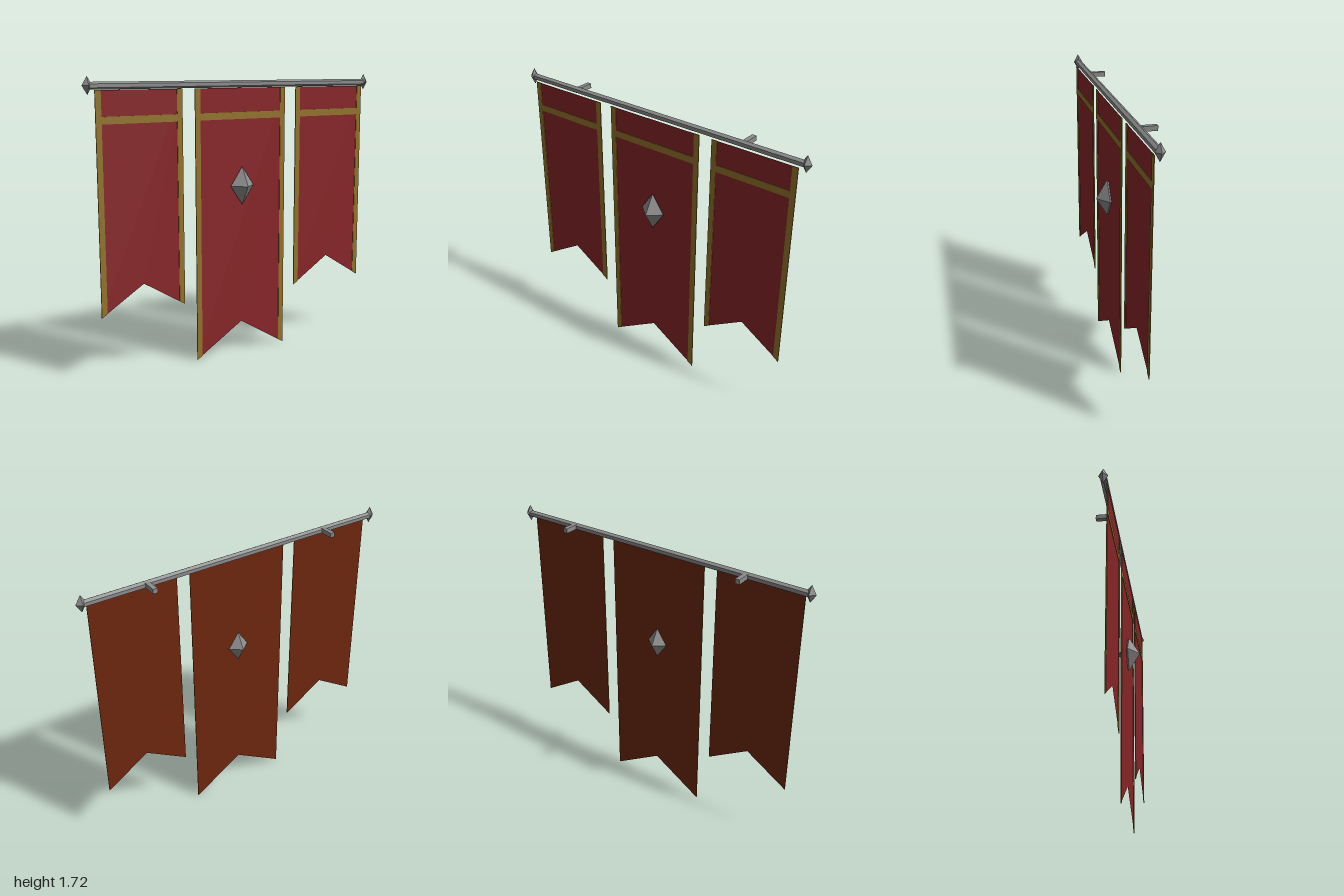
import * as THREE from 'three';

const mat = (name, color) => {
  const m = new THREE.MeshStandardMaterial({ color });
  m.name = name;
  return m;
};

export function createModel() {
  const root = new THREE.Group();
  root.name = 'wallBanners';
  const steel = mat('steel', 0x8c8c8c);
  const red = mat('redCloth', 0x8a2528);
  const backing = mat('brownBacking', 0x6e270f);
  const gold = mat('goldTrim', 0x94742a);

  const add = (parent, name, geometry, material, x = 0, y = 0, z = 0) => {
    const mesh = new THREE.Mesh(geometry, material);
    mesh.name = name;
    mesh.position.set(x, y, z);
    parent.add(mesh);
    return mesh;
  };
  const outline = (points) => new THREE.Shape(points.map(([x, y]) => new THREE.Vector2(x, y)));
  // faceted diamond with separate half sizes
  const diamond = (rx, ry, rz) => {
    const g = new THREE.OctahedronGeometry(1).scale(rx, ry, rz);
    g.computeVertexNormals();
    return g;
  };

  // Six-sided rod with an edge along the top
  const rodGeometry = new THREE.CylinderGeometry(0.021, 0.021, 1.92, 6).toNonIndexed();
  rodGeometry.computeVertexNormals();
  rodGeometry.rotateZ(Math.PI / 2).rotateX(Math.PI / 2);
  add(root, 'rod', rodGeometry, steel, 0, 1.678, 0);

  // Finials and wall brackets
  for (const [side, s] of [['left', 1], ['right', -1]]) {
    add(root, `${side}Finial`, diamond(0.031, 0.05, 0.028), steel, s * 0.966, 1.68, 0);
    add(root, `${side}Bracket`, new THREE.BoxGeometry(0.028, 0.028, 0.098), steel, s * 0.593, 1.68, -0.049);
  }

  // Swallow-tailed banner: red front, brown back, thin gold trim
  const top = 1.655, trim = 0.035;
  const addBanner = (name, cx, half, bottom, notch) => {
    const banner = new THREE.Group();
    banner.name = name;
    banner.position.x = cx;
    root.add(banner);

    const cloth = outline([[-half, bottom], [0, notch], [half, bottom], [half, top], [-half, top]]);
    add(banner, 'clothFront', new THREE.ShapeGeometry(cloth), red, 0, 0, 0.017);
    add(banner, 'clothBack', new THREE.ShapeGeometry(cloth).rotateY(Math.PI), backing, 0, 0, 0.014);

    const inner = half - trim;
    const innerY = bottom + (notch - bottom) * trim / half;
    for (const [side, s] of [['left', 1], ['right', -1]]) {
      const strip = outline([[s * half, bottom], [s * half, top], [s * inner, top], [s * inner, innerY]]);
      add(banner, `${side}Trim`, new THREE.ExtrudeGeometry(strip, { depth: 0.005, bevelEnabled: false }),
        gold, 0, 0, 0.015);
    }
    add(banner, 'crossTrim', new THREE.BoxGeometry(inner * 2, 0.042, 0.005), gold, 0, 1.491, 0.0175);
  };
  addBanner('centreBanner', 0, 0.318, 0.013, 0.207);
  addBanner('leftBanner', 0.666, 0.266, 0.383, 0.547);
  addBanner('rightBanner', -0.666, 0.266, 0.383, 0.547);

  // Diamond ornament through the centre banner
  add(root, 'ornament', diamond(0.082, 0.117, 0.068), steel, 0, 1.068, 0.027);

  return root;
}
